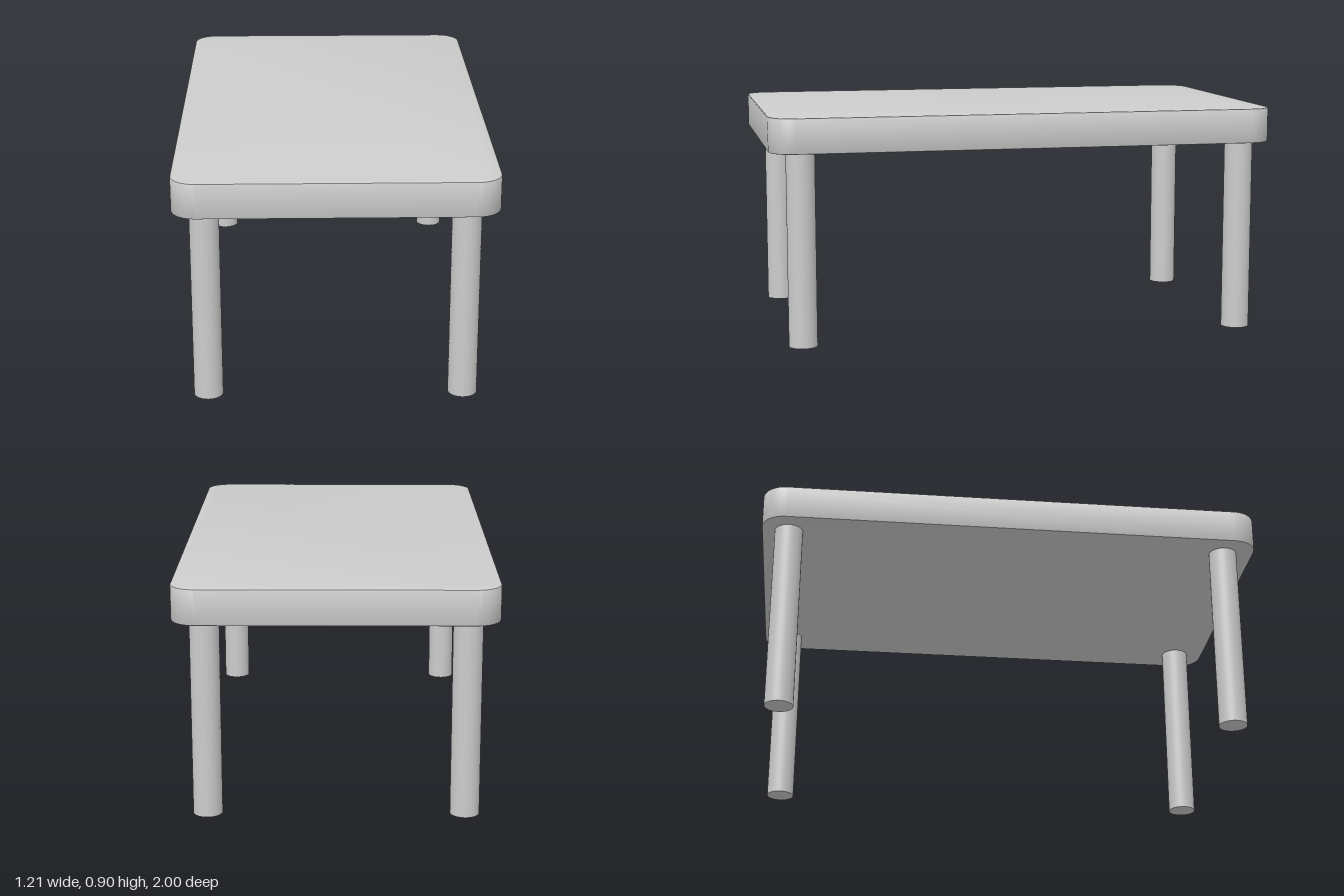
import * as THREE from 'three';
import { toCreasedNormals } from 'three/addons/utils/BufferGeometryUtils.js';

const HALF_W = 0.607, HALF_D = 1, TOP = 0.9, UNDERSIDE = 0.763;
const CORNER = 0.095, BEVEL = 0.005;

// Rounded rectangle centred on the origin
function roundedRect(hw, hd, r) {
  const s = new THREE.Shape();
  s.absarc(hw - r, hd - r, r, 0, Math.PI / 2);
  s.absarc(-hw + r, hd - r, r, Math.PI / 2, Math.PI);
  s.absarc(-hw + r, -hd + r, r, Math.PI, Math.PI * 1.5);
  s.absarc(hw - r, -hd + r, r, Math.PI * 1.5, Math.PI * 2);
  s.closePath();
  return s;
}

export function createModel() {
  const group = new THREE.Group();
  group.name = 'table';
  const material = new THREE.MeshStandardMaterial({ color: 0xcccccc });

  // Thick top with rounded corners and a fine softened edge
  const slab = new THREE.ExtrudeGeometry(
    roundedRect(HALF_W - BEVEL, HALF_D - BEVEL, CORNER - BEVEL),
    {
      depth: TOP - UNDERSIDE - 2 * BEVEL,
      bevelEnabled: true, bevelThickness: BEVEL, bevelSize: BEVEL, bevelSegments: 2,
      curveSegments: 10,
    }
  );
  slab.rotateX(-Math.PI / 2);
  slab.translate(0, UNDERSIDE + BEVEL, 0);
  const tableTop = new THREE.Mesh(toCreasedNormals(slab, 0.6), material);
  tableTop.name = 'tableTop';
  group.add(tableTop);

  // Four round legs, the back pair slightly closer to the edge
  const legGeometry = new THREE.CylinderGeometry(0.056, 0.056, UNDERSIDE + 0.005, 32);
  legGeometry.translate(0, (UNDERSIDE + 0.005) / 2, 0);
  for (const [end, z] of [['front', 0.876], ['back', -0.893]]) {
    for (const [side, x] of [['Left', 0.486], ['Right', -0.488]]) {
      const leg = new THREE.Mesh(legGeometry, material);
      leg.name = `${end}${side}Leg`;
      leg.position.set(x, 0, z);
      group.add(leg);
    }
  }
  return group;
}
